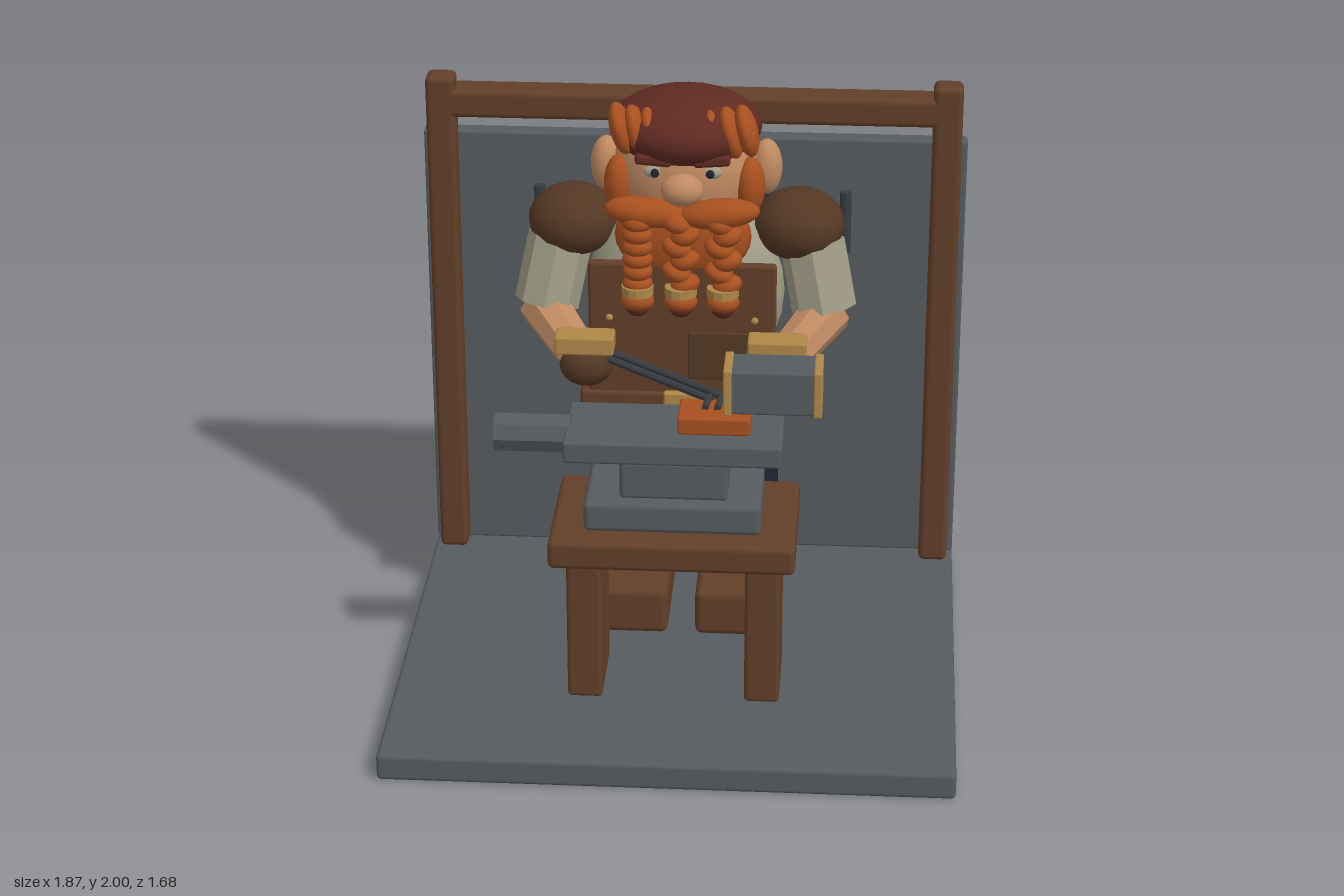
import * as THREE from 'three';
import { RoundedBoxGeometry } from 'three/addons/geometries/RoundedBoxGeometry.js';

const mat = (name, color) => {
  const m = new THREE.MeshStandardMaterial({ color });
  m.name = name;
  return m;
};

export function createModel() {
  const stone = mat('stone', 0x565b5f), wood = mat('wood', 0x623f29), leather = mat('leather', 0x543824);
  const hair = mat('orange', 0xa8501f), cap = mat('dark red', 0x5f2a22), skin = mat('skin', 0xc08a62);
  const linen = mat('linen', 0xa09c86), navy = mat('navy', 0x222331), gold = mat('gold', 0xae8748);
  const iron = mat('dark iron', 0x383c40);
  const model = new THREE.Group();
  model.name = 'blacksmithAtForge';

  const add = (name, geo, m, parent = model) => {
    const mesh = new THREE.Mesh(geo, m);
    mesh.name = name;
    parent.add(mesh);
    return mesh;
  };
  // Softly bevelled box from its limits on each axis
  const box = (name, m, [x0, x1], [y0, y1], [z0, z1], r = 0.015) => {
    const b = add(name, new RoundedBoxGeometry(x1 - x0, y1 - y0, z1 - z0, 2, r), m);
    b.position.set((x0 + x1) / 2, (y0 + y1) / 2, (z0 + z1) / 2);
    return b;
  };
  // Ellipsoid from centre and radii
  const ball = (name, m, c, r, tilt = 0) => {
    const b = add(name, new THREE.SphereGeometry(1, 20, 14), m);
    b.position.set(...c);
    b.scale.set(...r);
    b.rotation.z = tilt;
    return b;
  };
  // Faceted rod between two points
  const rod = (name, m, a, b, r0, r1 = r0, sides = 8) => {
    const p = new THREE.Vector3(...a), q = new THREE.Vector3(...b), d = q.clone().sub(p);
    const geo = new THREE.CylinderGeometry(r1, r0, d.length(), sides).toNonIndexed();
    geo.computeVertexNormals();
    const mesh = add(name, geo, m);
    mesh.position.copy(p).add(q).multiplyScalar(0.5);
    mesh.quaternion.setFromUnitVectors(new THREE.Vector3(0, 1, 0), d.normalize());
    return mesh;
  };

  // Floor, wall, timber frame and wall pegs
  box('floor', stone, [-0.935, 0.935], [0, 0.093], [-0.84, 0.84]);
  box('wall', stone, [-0.935, 0.935], [0.09, 1.665], [-0.767, -0.7], 0.01);
  box('beam', wood, [-0.905, 0.905], [1.745, 1.845], [-0.725, -0.605], 0.02);
  for (const s of [-1, 1])
    box('post', wood, [s * 0.863 - 0.05, s * 0.863 + 0.05], [0.095, 1.89], [-0.705, -0.605], 0.02);
  for (let i = -2; i <= 2; i++)
    rod('wallTool', iron, [i * 0.262, 1.295, -0.59], [i * 0.262, 1.515, -0.59], 0.02);

  // Bench
  box('benchTop', wood, [-0.4, 0.4], [0.625, 0.725], [0.03, 0.53], 0.02);
  for (const s of [-1, 1])
    box('benchLeg', wood, [s * 0.293 - 0.058, s * 0.293 + 0.058], [0.095, 0.635], [0.135, 0.43]);

  // Anvil
  box('anvilBase', stone, [-0.29, 0.285], [0.725, 0.83], [0.12, 0.45], 0.02);
  box('anvilWaist', stone, [-0.175, 0.175], [0.825, 0.96], [0.16, 0.405]);
  box('anvilTop', stone, [-0.355, 0.35], [0.965, 1.04], [0.125, 0.44], 0.01);
  rod('anvilNeck', stone, [0, 0.94, 0.28], [0, 0.98, 0.28], 0.12);
  rod('anvilHorn', stone, [-0.59, 0.995, 0.277], [-0.34, 0.995, 0.277], 0.066);
  box('hotMetal', hair, [0.01, 0.245], [1.04, 1.1], [0.205, 0.36], 0.008);

  // Hammer
  box('hammerHead', stone, [0.175, 0.46], [1.115, 1.265], [0.205, 0.355], 0.008);
  for (const x of [0.17, 0.46])
    box('hammerBand', gold, [x - 0.014, x + 0.014], [1.11, 1.27], [0.2, 0.36], 0.006);
  rod('hammerHandle', wood, [0.315, 1.14, -0.04], [0.315, 1.145, 0.24], 0.032);

  // Tongs
  for (const s of [-1, 1]) {
    rod('tongArm', iron, [-0.25 + s * 0.012, 1.15, -0.01 - s * 0.018], [0.13 + s * 0.018, 1.105, 0.21 - s * 0.015], 0.013);
    rod('tongJaw', iron, [0.125 + s * 0.02, 1.105, 0.2], [0.115 + s * 0.02, 1.105, 0.29], 0.012);
  }

  // Legs, boots and shorts
  box('shorts', navy, [-0.32, 0.32], [0.745, 0.93], [-0.42, -0.1], 0.03);
  for (const s of [-1, 1]) {
    const x = s * 0.187;
    rod('trouserLeg', navy, [x, 0.51, -0.26], [x, 0.84, -0.26], 0.13);
    rod('bootShaft', wood, [x, 0.25, -0.26], [x, 0.515, -0.26], 0.134);
    box('boot', wood, [x - 0.14, x + 0.14], [0.11, 0.277], [-0.4, 0.015], 0.025);
  }

  // Torso, belt and apron
  ball('torso', linen, [0, 1.29, -0.26], [0.33, 0.36, 0.22]);
  box('belt', wood, [-0.34, 0.34], [0.945, 1.01], [-0.457, -0.022]);
  box('buckle', gold, [-0.06, 0.06], [0.945, 1.015], [-0.035, -0.005], 0.008);
  box('apron', wood, [-0.31, 0.31], [0.91, 1.47], [-0.068, -0.032], 0.012);
  box('apronPocket', leather, [0.02, 0.26], [1.06, 1.23], [-0.04, -0.022], 0.006);

  // Arms, mirrored
  for (const s of [-1, 1]) {
    ball('apronRivet', gold, [s * 0.24, 1.275, -0.03], [0.012, 0.012, 0.01]);
    ball('shoulderPad', leather, [s * 0.375, 1.53, -0.265], [0.152, 0.12, 0.147]);
    rod('sleeve', linen, [s * 0.465, 1.25, -0.2], [s * 0.42, 1.47, -0.25], 0.108);
    rod('forearm', skin, [s * 0.48, 1.25, -0.2], [s * 0.34, 1.14, -0.02], 0.085, 0.07);
    ball('glove', leather, [s * 0.315, 1.12, 0], [0.09, 0.075, 0.075]);
    box('cuff', gold, [s * 0.317 - 0.097, s * 0.317 + 0.097], [1.175, 1.238], [-0.03, 0.065], 0.008);
  }

  // Head, face and cap
  ball('head', skin, [0, 1.73, -0.25], [0.24, 0.25, 0.205]);
  ball('cap', cap, [0, 1.88, -0.24], [0.25, 0.12, 0.238]);
  ball('nose', skin, [0, 1.73, -0.035], [0.07, 0.053, 0.06]);
  for (const s of [-1, 1]) {
    ball('ear', skin, [s * 0.265, 1.73, -0.265], [0.052, 0.095, 0.056]);
    ball('eye', linen, [s * 0.092, 1.777, -0.075], [0.036, 0.022, 0.02]);
    ball('pupil', navy, [s * 0.09, 1.777, -0.058], [0.014, 0.015, 0.008]);
    const brow = box('brow', cap, [s * 0.095 - 0.06, s * 0.095 + 0.06], [1.805, 1.84], [-0.085, -0.04], 0.012);
    brow.rotation.z = s * 0.08;
    ball('sideburn', hair, [s * 0.215, 1.7, -0.16], [0.05, 0.1, 0.062]);
    ball('moustache', hair, [s * 0.12, 1.65, -0.035], [0.135, 0.05, 0.055], s * 0.1);
  }

  // Slanted fringe locks
  for (let i = -4; i <= 4; i++) {
    const k = Math.abs(i) / 4;
    ball('fringeLock', hair, [i * 0.051, 1.875 + 0.03 * k, -0.125], [0.036, 0.088, 0.075], 0.25);
  }

  // Beard with three braids
  ball('beard', hair, [0, 1.55, -0.09], [0.225, 0.16, 0.075]);
  for (const x of [-0.145, -0.003, 0.135]) {
    for (let i = 0; i < 6; i++) {
      const shift = x < -0.1 ? 0 : (i % 2 ? 0.014 : -0.014);
      ball('braidBead', hair, [x + shift, 1.62 - i * 0.043, -0.02], [0.05, 0.034, 0.045], shift * 25);
    }
    rod('braidRing', gold, [x, 1.37, -0.015], [x, 1.4, -0.015], 0.053, 0.053, 12);
    ball('braidEnd', hair, [x, 1.345, -0.018], [0.055, 0.036, 0.045]);
    ball('braidTip', cap, [x, 1.322, -0.022], [0.04, 0.033, 0.038]);
  }
  return model;
}
